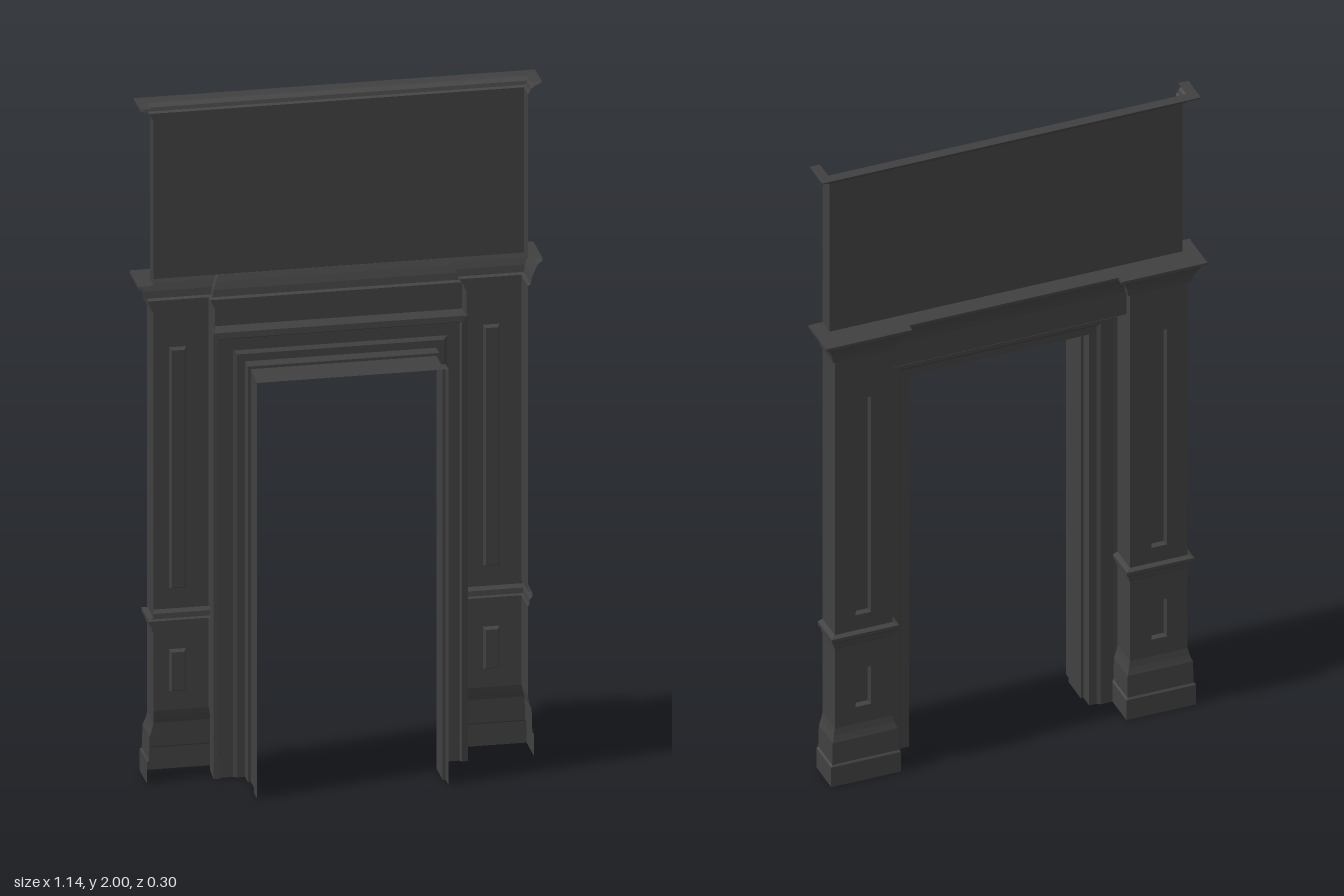
import * as THREE from 'three';

const material = new THREE.MeshStandardMaterial({ color: 0x404040, side: THREE.DoubleSide, flatShading: true });

// Skins a run of cross-sections (arrays of [x, y, z]) with flat quads
function loft(name, sections, closed = false) {
  const pos = [];
  const tri = (...pts) => {
    const [a, b, c] = pts.map((p) => new THREE.Vector3(...p));
    if (b.sub(a).cross(c.sub(a)).length() > 1e-9) pts.forEach((p) => pos.push(...p));
  };
  for (let i = 0; i < sections.length - 1; i++) {
    const s = sections[i], t = sections[i + 1], n = s.length;
    for (let j = 0; j < (closed ? n : n - 1); j++) {
      const k = (j + 1) % n;
      tri(s[j], s[k], t[k]);
      tri(s[j], t[k], t[j]);
    }
  }
  const geo = new THREE.BufferGeometry();
  geo.setAttribute('position', new THREE.Float32BufferAttribute(pos, 3));
  geo.computeVertexNormals();
  const mesh = new THREE.Mesh(geo, material);
  mesh.name = name;
  return mesh;
}

// Main planes
const X0 = 0.355, X1 = 0.528;                       // pilaster sides
const OPEN = -0.02, FACE = -0.109;                  // open edge and pilaster face
const LINTEL = -0.085, WALL = -0.072;               // lintel face and upper wall

// Moulding profiles: [projection, height]
const BASE = [[0.018, 0], [0.018, 0.065], [0.013, 0.07], [0.011, 0.14], [0.008, 0.148], [0.004, 0.16], [0, 0.18]];
const BAND = [[0, 0.445], [0.004, 0.45], [0.006, 0.465], [0.014, 0.475], [0.014, 0.485], [0, 0.49]];
const CORNICE = [[0, 1.395], [0.008, 1.4], [0.012, 1.42], [0.02, 1.44], [0.029, 1.458], [0.036, 1.464], [0.042, 1.467], [0.042, 1.475]];
const CROWN = [[0, 1.965], [0.006, 1.97], [0.01, 1.98], [0.022, 1.989], [0.036, 1.994], [0.039, 2], [0.008, 2]];

// U-shaped outline around a pilaster, pushed out by e
const around = (e, y, innerEnd = OPEN) => [
  [X1 + e, y, OPEN], [X1 + e, y, FACE - e], [X0 - e, y, FACE - e], [X0 - e, y, innerEnd],
];

const rect = (x0, x1, y0, y1, z) => [[x1, y0, z], [x0, y0, z], [x0, y1, z], [x1, y1, z]];

// Pilaster face with one sunk panel
function panelledFace(name, y0, y1, p0, p1) {
  const a = 0.419, b = 0.466, m = 0.006;
  return loft(name, [
    rect(X0, X1, y0, y1, FACE),
    rect(a, b, p0, p1, FACE),
    rect(a + m, b - m, p0 + m, p1 - m, FACE + 0.012),
    rect((a + b) / 2, (a + b) / 2, p0 + m, p1 - m, FACE + 0.012),
  ], true);
}

function makePilaster(name) {
  const g = new THREE.Group();
  g.name = name;
  g.add(loft('plinth', BASE.map(([e, y]) => around(e, y))));
  g.add(loft('band', BAND.map(([e, y]) => around(e, y))));
  for (const [part, y0, y1, p0, p1] of [['pedestal', 0.18, 0.445, 0.235, 0.36], ['shaft', 0.49, 1.395, 0.54, 1.255]]) {
    g.add(panelledFace(part + 'Face', y0, y1, p0, p1));
    const sides = [y0, y1].map((y) => around(0, y));
    g.add(loft(part + 'OuterSide', sides.map((s) => s.slice(0, 2))));
    g.add(loft(part + 'InnerSide', sides.map((s) => s.slice(2))));
  }
  // Capital mitres into the lintel cornice and is capped back to the wall
  const capital = CORNICE.map(([e, y]) => around(e, y, LINTEL - e));
  const top = 1.475, inner = X0 - 0.042;
  capital.push([[X1, top, OPEN], [X1, top, WALL], [inner, top, WALL], [inner, top, WALL]]);
  g.add(loft('capital', capital));
  return g;
}

export function createModel() {
  const model = new THREE.Group();
  model.name = 'doorSurround';

  // Pilasters, mirrored
  const left = makePilaster('leftPilaster');
  const right = makePilaster('rightPilaster');
  right.scale.x = -1;
  model.add(left, right);

  // Lintel frieze with its cornice and shelf
  const across = (x, y, z) => [[x, y, z], [-x, y, z]];
  model.add(loft('lintel', [
    across(X0, 1.318, LINTEL),
    ...CORNICE.map(([e, y]) => across(X0 - e, y, LINTEL - e)),
    across(X0 - 0.042, 1.475, WALL),
  ]));

  // Moulded door lining: [offset from the opening, z]
  const lining = [
    [0.093, LINTEL], [0.097, -0.02], [0.08, -0.018], [0.075, -0.027], [0.04, -0.027], [0.03, -0.02],
    [0.008, -0.02], [0.008, 0.022], [0, 0.022], [0, 0.11], [0.008, 0.11], [0.008, 0.15],
  ];
  model.add(loft('doorLining', lining.map(([d, z]) => {
    const x = 0.262 + d, y = 1.224 + d;
    return [[-x, 0, z], [-x, y, z], [x, y, z], [x, 0, z]];
  })));

  // Upper wall with side returns and crown moulding
  const wallOutline = (e, y) => [
    [X1 + e, y, OPEN], [X1 + e, y, WALL - e], [-X1 - e, y, WALL - e], [-X1 - e, y, OPEN],
  ];
  model.add(loft('upperWall', [wallOutline(0, 1.475), wallOutline(0, 1.965)]));
  model.add(loft('crown', CROWN.map(([e, y]) => wallOutline(e, y))));

  return model;
}
